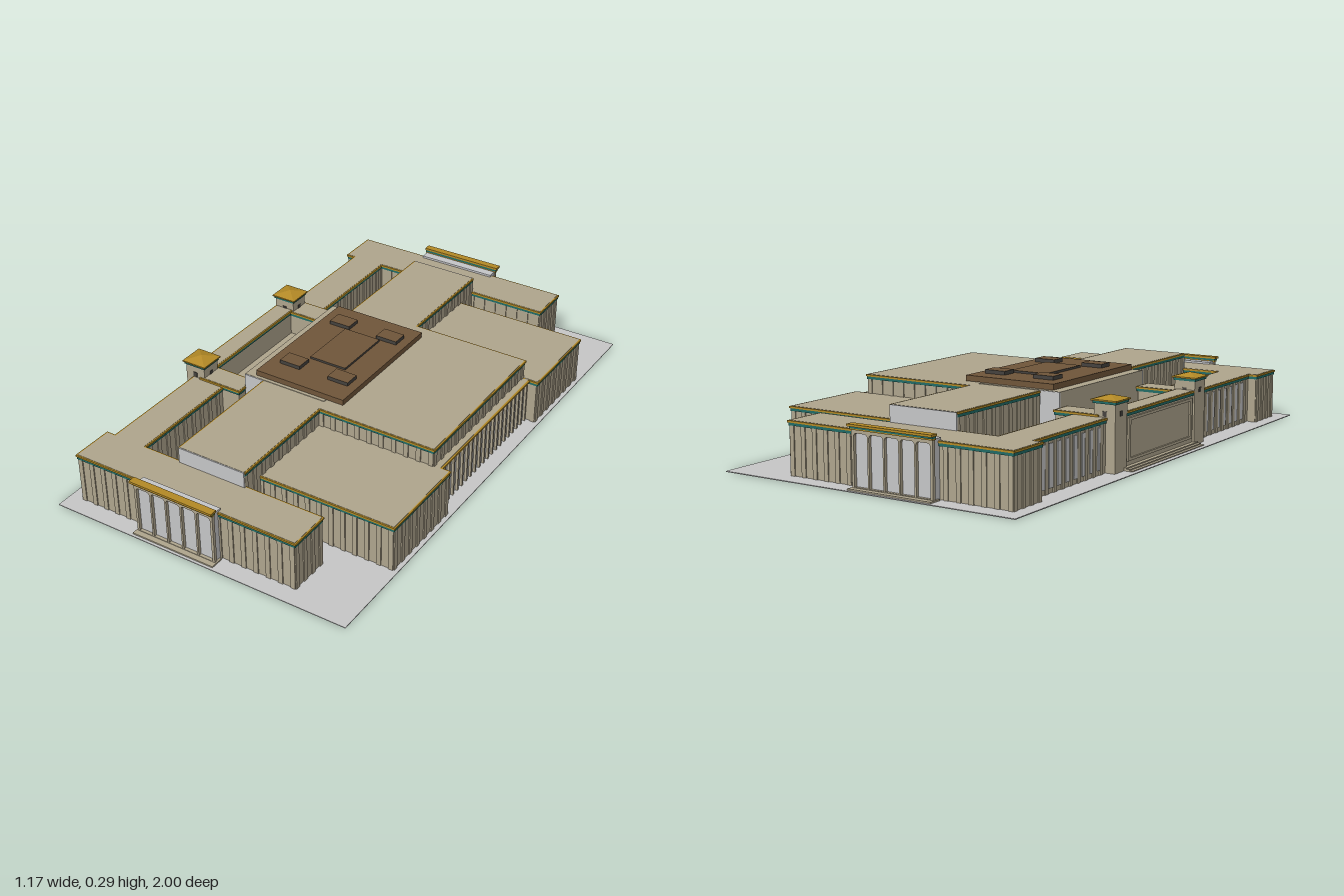
import * as THREE from 'three';

const mat = (name, color) => Object.assign(new THREE.MeshStandardMaterial({ color }), { name });

export function createModel() {
  const model = new THREE.Group();
  model.name = 'civicBuilding';
  const stone = mat('stone', 0xb0a68e);
  const gold = mat('gold', 0xb48a26);
  const teal = mat('teal', 0x1f6b66);
  const glass = mat('paleGlass', 0xc6c7c9);
  const paving = mat('paving', 0xc8c8c8);
  const brown = mat('brownRoof', 0x70563a);
  const dark = mat('darkMetal', 0x45423e);

  // Box given by its limits on each axis
  function box(name, material, x0, x1, y0, y1, z0, z1, parent = model) {
    const m = new THREE.Mesh(new THREE.BoxGeometry(x1 - x0, y1 - y0, z1 - z0), material);
    m.name = name;
    m.position.set((x0 + x1) / 2, (y0 + y1) / 2, (z0 + z1) / 2);
    parent.add(m);
    return m;
  }

  // Wall block with pilasters, teal frieze, gold cornice and inset stone roof
  // ox, oz: cornice overhang along x and z
  function block(name, x0, x1, z0, z1, h, { ox = 0.007, oz = 0.007, pilasters = true } = {}) {
    const g = new THREE.Group();
    g.name = name;
    model.add(g);
    box('wall', stone, x0, x1, 0.003, h - 0.018, z0, z1, g);
    box('frieze', teal, x0 - ox * 0.6, x1 + ox * 0.6, h - 0.018, h - 0.008, z0 - oz * 0.6, z1 + oz * 0.6, g);
    box('cornice', gold, x0 - ox, x1 + ox, h - 0.008, h - 0.001, z0 - oz, z1 + oz, g);
    box('roof', stone, x0 - ox * 0.2, x1 + ox * 0.2, h - 0.002, h, z0 - oz * 0.2, z1 + oz * 0.2, g);
    if (!pilasters) return g;
    const d = 0.004, w = 0.009, top = h - 0.018;
    if (oz) {
      const n = Math.max(1, Math.round((x1 - x0) / 0.05));
      for (let i = 0; i <= n; i++) {
        const x = x0 + w + (x1 - x0 - 2 * w) * i / n;
        box('pilaster', stone, x - w, x + w, 0.003, top, z0 - d, z1 + d, g);
      }
    }
    if (ox) {
      const n = Math.max(1, Math.round((z1 - z0) / 0.05));
      for (let i = 0; i <= n; i++) {
        const z = z0 + w + (z1 - z0 - 2 * w) * i / n;
        box('pilaster', stone, x0 - d, x1 + d, 0.003, top, z - w, z + w, g);
      }
    }
    return g;
  }

  box('pavingSlab', paving, -0.59, 0.585, 0, 0.003, -1, 1);

  // Central spine with pale end walls, and the hall to the east
  block('spine', -0.215, 0.047, -0.778, 0.778, 0.252, { oz: 0 });
  block('eastHall', -0.05, 0.508, -0.33, 0.33, 0.252);
  box('crossing', stone, -0.3, 0.04, 0.003, 0.254, -0.288, 0.288);
  for (const s of [-1, 1]) {
    box('spineEndWall', glass, -0.22, 0.05, 0.003, 0.251, s * 0.779 - 0.003, s * 0.779 + 0.003);
    box('crossingEndWall', glass, -0.3, -0.22, 0.003, 0.253, s * 0.289 - 0.003, s * 0.289 + 0.003);
  }

  // Brown roof platform with raised hatches
  box('roofPlatform', brown, -0.26, 0.11, 0.254, 0.275, -0.27, 0.275);
  const hatchMats = [dark, dark, brown, dark, dark, dark];
  box('roofHatch', hatchMats, -0.14, 0.01, 0.275, 0.283, -0.13, 0.105);
  for (const x of [-0.215, -0.01])
    for (const z of [-0.2, 0.13]) box('roofHatch', hatchMats, x, x + 0.085, 0.275, 0.289, z, z + 0.06);

  // East colonnade between the two low wings
  box('colonnadeGlass', glass, 0.5, 0.524, 0.003, 0.164, -0.33, 0.33);
  box('colonnadeFrieze', teal, 0.5, 0.534, 0.164, 0.172, -0.33, 0.33);
  box('colonnadeCornice', gold, 0.5, 0.54, 0.172, 0.179, -0.33, 0.33);
  box('colonnadeRoof', stone, 0.5, 0.533, 0.178, 0.18, -0.33, 0.33);
  for (let i = 0; i <= 20; i++) {
    const z = -0.32 + i * 0.032;
    box('colonnadeFin', stone, 0.52, 0.533, 0.003, 0.164, z - 0.004, z + 0.004);
  }

  // Portico at the end of a wing, built facing +z
  function portico() {
    const g = new THREE.Group();
    g.name = 'portico';
    box('porticoGlass', glass, -0.262, 0.055, 0.003, 0.2, 0.92, 0.957, g);
    box('porticoStep', stone, -0.27, 0.063, 0.003, 0.008, 0.94, 0.99, g);
    box('lintel', stone, -0.265, 0.058, 0.188, 0.198, 0.955, 0.969, g);
    box('lowerCornice', gold, -0.268, 0.061, 0.198, 0.203, 0.955, 0.973, g);
    box('frieze', teal, -0.268, 0.061, 0.203, 0.21, 0.955, 0.976, g);
    box('upperCornice', gold, -0.272, 0.065, 0.21, 0.218, 0.955, 0.984, g);
    // Five openings with rounded upper corners in a stone screen
    const screen = new THREE.Shape([[-0.265, 0.008], [0.058, 0.008], [0.058, 0.19], [-0.265, 0.19]]
      .map(p => new THREE.Vector2(...p)));
    for (let i = 0; i < 5; i++) {
      const a = -0.256 + i * 0.0622, b = a + 0.0555, r = 0.012;
      const hole = new THREE.Path();
      hole.moveTo(a, 0.01);
      hole.lineTo(a, 0.187 - r);
      hole.quadraticCurveTo(a, 0.187, a + r, 0.187);
      hole.lineTo(b - r, 0.187);
      hole.quadraticCurveTo(b, 0.187, b, 0.187 - r);
      hole.lineTo(b, 0.01);
      screen.holes.push(hole);
    }
    const m = new THREE.Mesh(new THREE.ExtrudeGeometry(screen,
      { depth: 0.012, bevelEnabled: false, curveSegments: 5 }), stone);
    m.name = 'arcade';
    m.position.z = 0.957;
    g.add(m);
    return g;
  }

  for (const s of [-1, 1]) {
    const span = (a, b) => (s > 0 ? [a, b] : [-b, -a]);
    // End wing, low east wing and narrow west gallery
    block('endWing', -0.538, 0.352, ...span(0.778, 0.93), 0.192);
    block('eastWing', 0.04, 0.567, ...span(0.33, 0.683), 0.181);
    block('westGallery', -0.503, -0.38, ...span(0.3, 0.8), 0.192);
    for (let i = 0; i < 8; i++) {
      const z = 0.35 + i * 0.05;
      box('galleryWindow', glass, -0.506, -0.502, 0.02, 0.165, ...span(z + 0.004, z + 0.03));
    }
    // Tower with pyramid cap
    block('towerLink', -0.47, -0.305, ...span(0.246, 0.326), 0.2, { pilasters: false });
    box('tower', stone, -0.54, -0.458, 0.003, 0.238, ...span(0.247, 0.327));
    box('towerFrieze', teal, -0.544, -0.454, 0.238, 0.247, ...span(0.243, 0.331));
    box('towerEave', gold, -0.549, -0.449, 0.247, 0.252, ...span(0.238, 0.336));
    const cap = new THREE.Mesh(new THREE.ConeGeometry(0.068, 0.014, 4, 1).rotateY(Math.PI / 4).toNonIndexed(), gold);
    cap.geometry.computeVertexNormals();
    cap.name = 'towerCap';
    cap.position.set(-0.499, 0.259, s * 0.287);
    model.add(cap);
    box('towerWindow', dark, -0.507, -0.491, 0.195, 0.213, ...span(0.245, 0.329));
    box('towerWindow', dark, -0.542, -0.456, 0.195, 0.213, ...span(0.279, 0.295));

    const p = portico();
    if (s < 0) {
      // Mirror the portico to the back while keeping its x position
      p.rotation.y = Math.PI;
      p.position.x = -0.207;
    }
    model.add(p);
  }

  // West entrance wall between the towers, with framed panel and steps
  block('westWall', -0.533, -0.47, -0.25, 0.25, 0.205, { oz: 0, pilasters: false });
  box('lowRoof', stone, -0.47, -0.3, 0.003, 0.1, -0.25, 0.25);
  for (const s of [-1, 1])
    box('panelFrame', stone, -0.539, -0.532, 0.03, 0.18, s * 0.225 - 0.008, s * 0.225 + 0.008);
  for (const y of [0.03, 0.17]) box('panelFrame', stone, -0.539, -0.532, y, y + 0.01, -0.225, 0.225);
  for (let i = 0; i < 3; i++)
    box('westStep', stone, -0.573 + i * 0.012, -0.53, 0.003, 0.006 + i * 0.004, -0.265, 0.265);

  return model;
}
